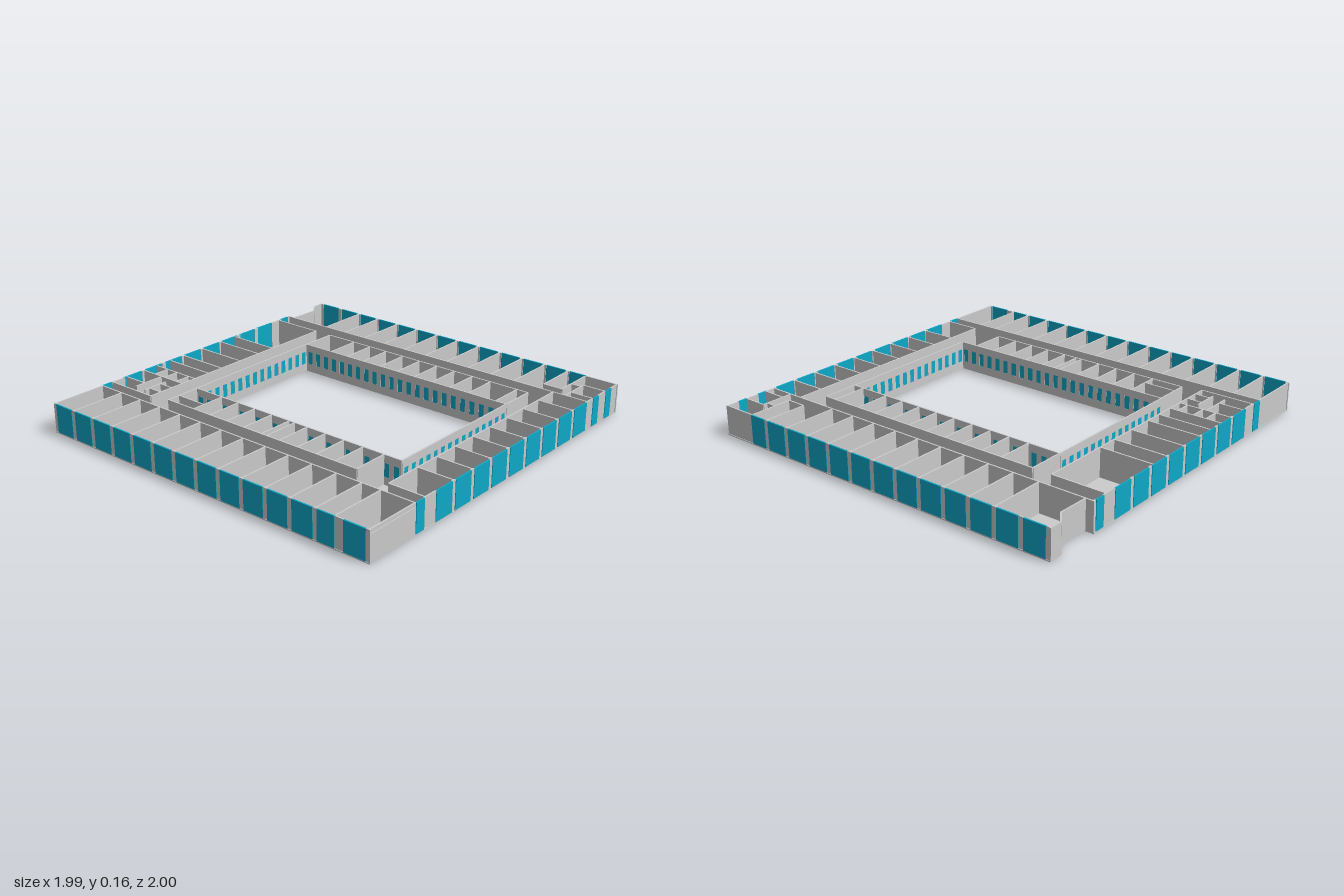
import * as THREE from 'three';

const H = 0.155, FLOOR = 0.006, T = 0.008;

export function createModel() {
  const model = new THREE.Group();
  model.name = 'storeyWithCourtyard';
  const grey = new THREE.MeshStandardMaterial({ color: 0xcccccc, flatShading: true });
  const blue = new THREE.MeshStandardMaterial({ color: 0x0fa8c8, flatShading: true });

  const group = (name) => {
    const g = new THREE.Group();
    g.name = name;
    model.add(g);
    return g;
  };

  // Upright slab between two plan points
  const wall = (parent, name, x1, z1, x2, z2, mat = grey, t = T, y0 = FLOOR, y1 = H) => {
    const len = Math.hypot(x2 - x1, z2 - z1);
    const m = new THREE.Mesh(new THREE.BoxGeometry(len, y1 - y0, t), mat);
    m.name = name;
    m.position.set((x1 + x2) / 2, (y0 + y1) / 2, (z1 + z2) / 2);
    m.rotation.y = -Math.atan2(z2 - z1, x2 - x1);
    parent.add(m);
  };

  // Floor with a courtyard opening and one cut corner (shape y = -z)
  const outline = [[-0.995, 1], [0.99, 1], [0.99, -1], [-0.995, -1],
    [-0.995, -0.93], [-0.945, -0.865], [-0.95, -0.7], [-0.995, -0.7]];
  const shape = new THREE.Shape(outline.map(([x, z]) => new THREE.Vector2(x, -z)));
  shape.holes.push(new THREE.Path([[-0.6, -0.415], [-0.6, 0.41], [0.695, 0.41], [0.695, -0.415]]
    .map(([x, z]) => new THREE.Vector2(x, -z))));
  const floor = new THREE.Mesh(
    new THREE.ExtrudeGeometry(shape, { depth: FLOOR, bevelEnabled: false }).rotateX(-Math.PI / 2), grey);
  floor.name = 'floor';
  model.add(floor);

  // Facade along x or z: glass panels flush outside, piers set slightly back
  const facade = (name, axis, at, from, to, panels) => {
    const g = group(name);
    const inward = -Math.sign(at);
    const put = (part, a, b, mat, off, t) => {
      const p = at + inward * off;
      if (b - a < 0.001) return;
      if (axis === 'x') wall(g, part, a, p, b, p, mat, t);
      else wall(g, part, p, a, p, b, mat, t);
    };
    let last = from;
    for (const [a, b] of panels) {
      put('pier', last, a, grey, 0.007, T);
      put('glassPanel', a, b, blue, 0.004, T);
      last = b;
    }
    put('pier', last, to, grey, 0.007, T);
  };

  const PITCH = 0.1404;
  const run = (start, n, width = 0.116) =>
    Array.from({ length: n }, (_, i) => [start + i * PITCH, start + i * PITCH + width]);
  const bays = run(-0.973, 12);
  facade('frontFacade', 'x', 1, -0.995, 0.99, [...bays, [0.71, 0.805], [0.853, 0.97]]);
  facade('backFacade', 'x', -1, -0.995, 0.99, [...bays, [0.71, 0.805]]);
  facade('leftFacade', 'z', 0.99, -0.995, 0.995,
    [[-0.928, -0.875], [-0.805, -0.75], ...run(-0.687, 9), [0.635, 0.692]]);
  facade('rightFacade', 'z', -0.995, -0.7, 0.995,
    [[-0.685, -0.63], ...run(-0.547, 8), [0.635, 0.69]]);

  // Low outer facing on the blind end wall
  wall(model, 'endWallFacing', 0.988, 0.7, 0.988, 0.998, grey, 0.006, 0, 0.137);

  // Cut corner
  const corner = group('cutCornerWall');
  for (let i = 3; i < 6; i++) wall(corner, 'cornerWall', ...outline[i], ...outline[i + 1]);

  const walls = (name, list) => {
    const g = group(name);
    for (const p of list) wall(g, 'partition', ...p);
  };

  // Corridor walls
  walls('corridorWalls', [
    [-0.995, 0.695, 0.985, 0.695], [-0.995, -0.7, 0.985, -0.7],
    [-0.703, -0.61, -0.703, 0.63], [-0.99, -0.61, -0.703, -0.61], [-0.99, 0.63, -0.703, 0.63],
    [0.79, -0.7, 0.79, 0.625], [0.79, 0.625, 0.985, 0.625],
    [-0.6, -0.61, 0.699, -0.61], [0.699, -0.61, 0.699, -0.415],
    [-0.6, 0.605, 0.597, 0.605], [0.597, 0.41, 0.597, 0.605],
    [-0.6, -0.61, -0.6, -0.415], [-0.6, 0.41, -0.6, 0.605],
  ]);

  // Regular room partitions of the front, back and left wings
  const rooms = [];
  for (let i = 0; i < 12; i++) {
    const x = -0.845 + i * PITCH;
    rooms.push([x, 0.695, x, 0.99]);
    if (i > 0) rooms.push([x, -0.99, x, i === 11 ? -0.76 : -0.7]);
  }
  rooms.push([0.804, 0.695, 0.804, 0.99], [0.804, -0.99, 0.804, -0.76]);
  for (let i = -4; i <= 3; i++) rooms.push([0.79, i * PITCH, 0.985, i * PITCH]);
  walls('outerRoomPartitions', rooms);

  // Small rooms at the back left corner
  walls('cornerRooms', [
    [0.7, -0.76, 0.804, -0.76], [0.81, -0.85, 0.855, -0.85], [0.86, -0.875, 0.86, -0.7],
    [0.86, -0.875, 0.985, -0.875], [0.86, -0.753, 0.985, -0.753],
  ]);

  // Right wing: rooms of varied depth, then small service rooms
  walls('rightWingPartitions', [
    ...[-0.25, -0.14, 0, 0.138, 0.233, 0.33, 0.418].map((z) => [-0.99, z, -0.703, z]),
    ...[-0.905, -0.835, -0.748].map((x) => [x, 0.33, x, 0.418]),
    [-0.99, 0.535, -0.855, 0.535], [-0.855, 0.418, -0.855, 0.59], [-0.785, 0.455, -0.785, 0.595],
    [-0.785, 0.49, -0.703, 0.49], [-0.785, 0.565, -0.703, 0.565],
  ]);

  // Rooms beside the courtyard
  const inner = [];
  for (let i = 0; i < 9; i++) {
    const x = -0.424 + i * 0.1125;
    inner.push([x, -0.61, x, -0.415], [x, 0.41, x, 0.605]);
  }
  inner.push([0.635, -0.61, 0.635, -0.415], [0.06, 0.41, 0.06, 0.605], [-0.6, 0.535, -0.424, 0.535]);
  walls('innerRoomPartitions', inner);

  // Courtyard wall pierced by a row of small windows, each with a pane
  const courtWall = (name, x1, z1, x2, z2, n) => {
    const g = group(name);
    const len = Math.hypot(x2 - x1, z2 - z1), step = len / n, w = 0.029, lo = 0.045, hi = 0.115;
    const rect = (C, a, b, c, d) => new C([[a, b], [c, b], [c, d], [a, d]].map((p) => new THREE.Vector2(...p)));
    const face = rect(THREE.Shape, 0, FLOOR, len, H);
    for (let i = 0; i < n; i++) {
      const c = (i + 0.5) * step;
      face.holes.push(rect(THREE.Path, c - w / 2, lo, c + w / 2, hi));
      const pane = new THREE.Mesh(new THREE.BoxGeometry(w, hi - lo, T * 0.7), blue);
      pane.name = 'windowPane';
      pane.position.set(c, (lo + hi) / 2, 0);
      g.add(pane);
    }
    const geo = new THREE.ExtrudeGeometry(face, { depth: T, bevelEnabled: false }).translate(0, 0, -T / 2);
    const m = new THREE.Mesh(geo, grey);
    m.name = 'piercedWall';
    g.add(m);
    g.position.set(x1, 0, z1);
    g.rotation.y = -Math.atan2(z2 - z1, x2 - x1);
  };
  courtWall('courtyardBackWall', -0.6, -0.417, 0.699, -0.417, 23);
  courtWall('courtyardFrontWall', -0.6, 0.412, 0.699, 0.412, 23);
  courtWall('courtyardRightWall', -0.602, -0.417, -0.602, 0.412, 15);
  courtWall('courtyardLeftWall', 0.697, -0.417, 0.697, 0.412, 15);

  return model;
}
